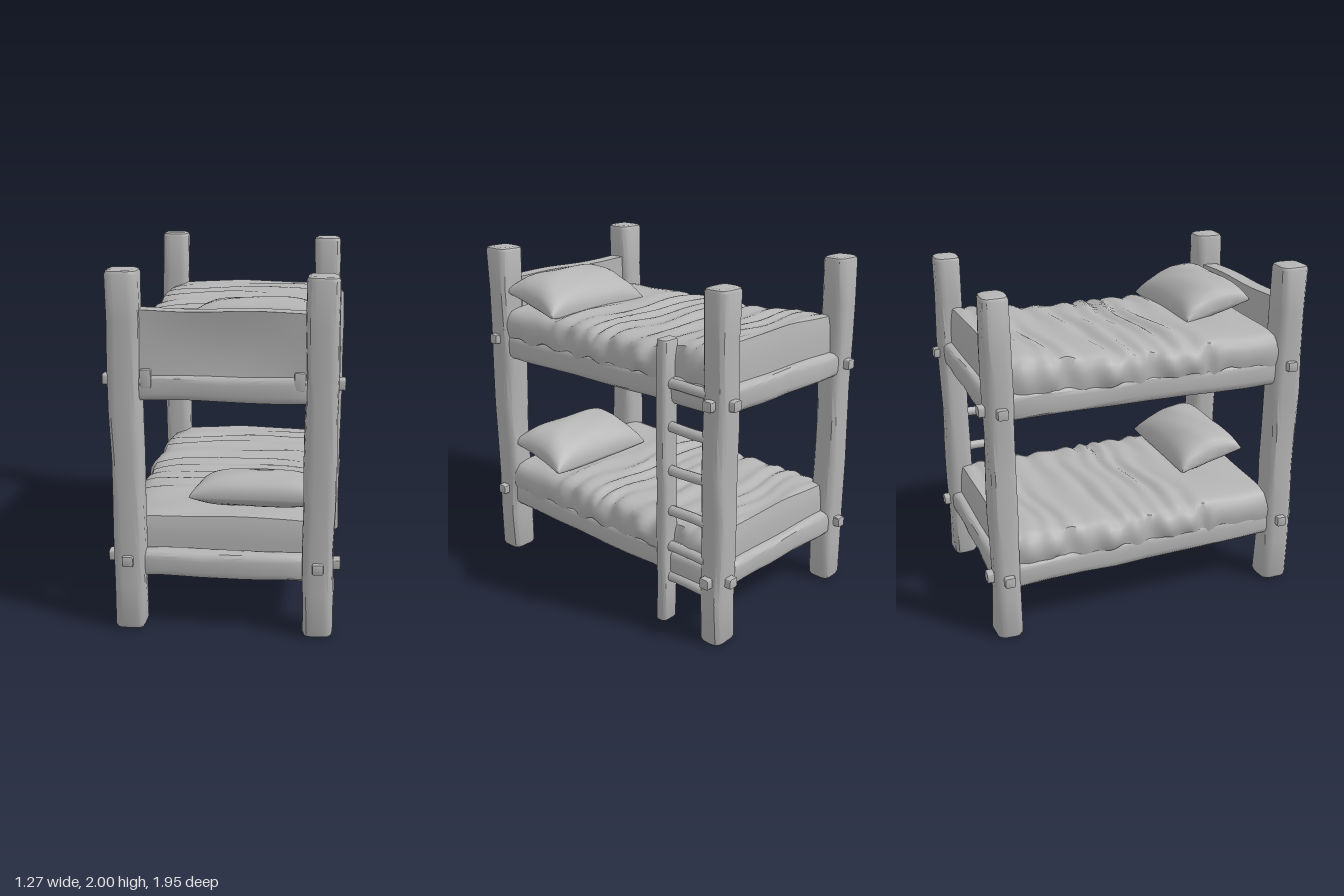
import * as THREE from 'three';
import { toCreasedNormals } from 'three/addons/utils/BufferGeometryUtils.js';

const wornGrey = new THREE.MeshStandardMaterial({ color: 0xb4b4b4 });
wornGrey.name = 'wornGrey';

// smooth, repeatable unevenness
const wave = (x, y, z) => Math.sin(7 * x + 11 * y + 5 * z) * Math.sin(13 * z - 6 * y + 3 * x + 1);

// move every vertex by a rule
function reshape(geo, rule) {
  const p = geo.attributes.position, v = new THREE.Vector3();
  for (let i = 0; i < p.count; i++) {
    v.fromBufferAttribute(p, i);
    rule(v);
    p.setXYZ(i, v.x, v.y, v.z);
  }
  return geo;
}

function addMesh(parent, name, geo, crease = 0.6) {
  const mesh = new THREE.Mesh(toCreasedNormals(geo, crease), wornGrey);
  mesh.name = name;
  parent.add(mesh);
  return mesh;
}

// hewn timber: rounded section w x h, running along z, centred on the origin
function timber(w, h, length, radius, bevel) {
  const a = w / 2 - bevel, b = h / 2 - bevel, r = radius;
  const s = new THREE.Shape();
  s.moveTo(-a + r, -b);
  s.lineTo(a - r, -b).quadraticCurveTo(a, -b, a, -b + r);
  s.lineTo(a, b - r).quadraticCurveTo(a, b, a - r, b);
  s.lineTo(-a + r, b).quadraticCurveTo(-a, b, -a, b - r);
  s.lineTo(-a, -b + r).quadraticCurveTo(-a, -b, -a + r, -b);
  const geo = new THREE.ExtrudeGeometry(s, {
    depth: length - 2 * bevel, steps: 8, curveSegments: 3,
    bevelEnabled: true, bevelSize: bevel, bevelThickness: bevel, bevelSegments: 2,
  });
  return geo.translate(0, 0, -length / 2 + bevel);
}

// timber along an axis, placed and roughened; slope raises it along z
function addTimber(parent, name, axis, size, pos, radius, bevel, rough = 0.006, slope = 0) {
  const geo = timber(...size, radius, bevel);
  if (axis === 'y') geo.rotateX(-Math.PI / 2);
  if (axis === 'x') geo.rotateY(Math.PI / 2);
  geo.translate(...pos);
  reshape(geo, v => {
    const n = wave(v.x, v.y, v.z) * rough;
    const m = wave(v.z, v.x, v.y + 2) * rough;
    if (axis !== 'x') v.x += n;
    if (axis !== 'y') v.y += (axis === 'x' ? n : m) + slope * v.z;
    if (axis !== 'z') v.z += m;
  });
  return addMesh(parent, name, geo);
}

// mattress with a rumpled blanket; y is its underside, rise lifts the foot end
function addBedding(parent, name, y, rise) {
  const geo = new THREE.BoxGeometry(1.13, 0.21, 1.67, 20, 5, 90);
  reshape(geo, v => {
    const t = v.y / 0.21 + 0.5, side = Math.abs(v.x) / 0.565;
    const x0 = v.x, z0 = v.z - 0.05, s = Math.sign(x0);
    const blanket = THREE.MathUtils.smoothstep(-z0, -0.4, -0.33);
    const foot = THREE.MathUtils.smoothstep(-z0, 0.2, 0.85);
    // uneven folds run across the bed, wandering and fading sideways
    const d = z0 + 0.025 * Math.sin(5 * x0 + 1) + 0.015 * Math.sin(11 * x0 + 6 * z0);
    const ridge = Math.pow(Math.abs(Math.sin(d * 23 + 0.8 * Math.sin(d * 9))), 1.6) - 0.5;
    const fold = ridge * (0.65 + 0.35 * Math.sin(4 * x0 + 17 * z0)) * (1 - 0.5 * foot);
    const edge = Math.pow(side, 6) * 0.03;
    v.y = y + t * (0.188 + rise * foot + blanket * fold * 0.03 - edge + 0.006 * wave(x0, 0, z0));
    // hem sags unevenly, sides billow out
    if (side > 0.9) v.y += (1 - t) * 0.01 * (Math.sin(z0 * 17 + s) + Math.sin(z0 * 31));
    const bulge = Math.sin(Math.PI * Math.min(1, t * 0.8 + 0.15));
    const billow = 0.02 + blanket * (0.016 * Math.sin(z0 * 15 + s) + 0.01 * Math.sin(z0 * 37 + 2 * s));
    v.x += s * Math.pow(side, 4) * (bulge * billow - 0.025 * foot - 0.02 * Math.pow(t, 5));
    // rounded upper ends
    v.z = z0 - Math.sign(v.z) * Math.pow(Math.abs(v.z) / 0.835, 12) * 0.018 * Math.pow(t, 3);
  });
  addMesh(parent, name, geo, 0.9);
}

// domed pillow with pinched corners, sunk into the mattress and raised at the headboard
function addPillow(parent, name, y) {
  const geo = new THREE.BoxGeometry(2, 2, 2, 20, 1, 20);
  reshape(geo, v => {
    // crowd the cross-lines towards the rim so it rounds off
    const x = Math.sin(v.x * Math.PI / 2), z = Math.sin(v.z * Math.PI / 2);
    const puff = Math.pow(Math.max(0, (1 - x ** 4) * (1 - z * z)), 0.45);
    v.set(
      0.18 + x * 0.38 * (1 - 0.07 * (1 - z * z)),
      y + z * 0.05 + v.y * (0.002 + (v.y > 0 ? 0.148 : 0.06) * puff)
        + 0.006 * wave(x * 0.5, 0, z * 0.4) * puff,
      0.585 + z * 0.205 * (1 - 0.04 * (1 - x * x)),
    );
  });
  addMesh(parent, name, geo, 0.9);
}

// one bunk: rails, base board, bedding and pillow; y is the underside of the rails
function addBunk(parent, name, y, slope, rise, pillowY) {
  const bunk = new THREE.Group();
  bunk.name = name;
  parent.add(bunk);
  for (const s of [-1, 1]) {
    addTimber(bunk, 'sideRail', 'z', [0.13, 0.155, 1.66], [s * 0.51, y + 0.073, -0.01], 0.035, 0.012, 0.005, slope);
    addTimber(bunk, 'endRail', 'x', [0.11, 0.145, 0.95], [0, y + 0.073, s > 0 ? 0.852 : -0.878], 0.03, 0.012);
  }
  const board = addMesh(bunk, 'baseBoard', new THREE.BoxGeometry(0.96, 0.03, 1.68));
  board.position.set(0, y + 0.105, -0.01);
  addBedding(bunk, 'bedding', y + 0.125, rise);
  addPillow(bunk, 'pillow', pillowY);
}

export function createModel() {
  const model = new THREE.Group();
  model.name = 'bunkBed';

  // corner posts, with a side and an end peg at each bunk
  for (const sx of [-1, 1]) {
    for (const sz of [-1, 1]) {
      const post = new THREE.Group();
      post.name = (sz > 0 ? 'front' : 'back') + (sx > 0 ? 'Left' : 'Right') + 'Post';
      model.add(post);
      const top = sx < 0 ? 2 : 1.98;
      const x = sx * 0.515, z = sz > 0 ? 0.855 : -0.872;
      const depth = sz > 0 ? 0.172 : 0.15;
      addTimber(post, 'post', 'y', [0.17, depth, top], [x, top / 2, z], 0.03, 0.022, 0.007);
      for (const level of [0.42, 1.42]) {
        const onRail = sz > 0 && level > 1;
        const y = sz > 0 ? level : level - 0.035;
        addTimber(post, 'sidePeg', 'x', [0.06, 0.06, 0.1], [x + sx * 0.07, y, z], 0.006, 0.006, 0.003);
        addTimber(post, 'endPeg', 'z', [0.06, onRail ? 0.1 : 0.06, 0.1],
          [onRail ? sx * 0.4 : x, y + (onRail ? 0.015 : 0), z + sz * (onRail ? 0.005 : 0.062)], 0.006, 0.006, 0.003);
      }
    }
  }

  addBunk(model, 'lowerBunk', 0.31, 0.012, 0.012, 0.692);
  addBunk(model, 'upperBunk', 1.312, -0.012, 0.05, 1.668);

  // headboard, hollowed slightly in the middle
  const panel = new THREE.BoxGeometry(0.92, 0.4, 0.09, 12, 8, 1);
  reshape(panel, v => {
    const dish = Math.cos(v.x * 3.2) * Math.cos(v.y * 7.5);
    if (v.z > 0) v.z -= 0.022 * dish;
    v.y += 0.005 * Math.sin(v.x * 9);
  });
  panel.translate(0, 1.592, 0.85);
  addMesh(model, 'headboard', panel);

  // ladder: one upright, with rungs running to the back post
  const ladder = new THREE.Group();
  ladder.name = 'ladder';
  model.add(ladder);
  addTimber(ladder, 'upright', 'y', [0.115, 0.075, 1.645], [0.57, 0.85, -0.543], 0.018, 0.012, 0.005);
  for (const y of [0.3, 0.49, 0.705, 0.945, 1.19, 1.43]) {
    const rung = new THREE.CylinderGeometry(0.03, 0.03, 0.29, 8, 3);
    rung.rotateX(Math.PI / 2).translate(0.57, y, -0.69);
    reshape(rung, v => { v.y += 0.005 * wave(v.x, y, v.z); });
    addMesh(ladder, 'rung', rung, 0.9);
  }
  return model;
}
